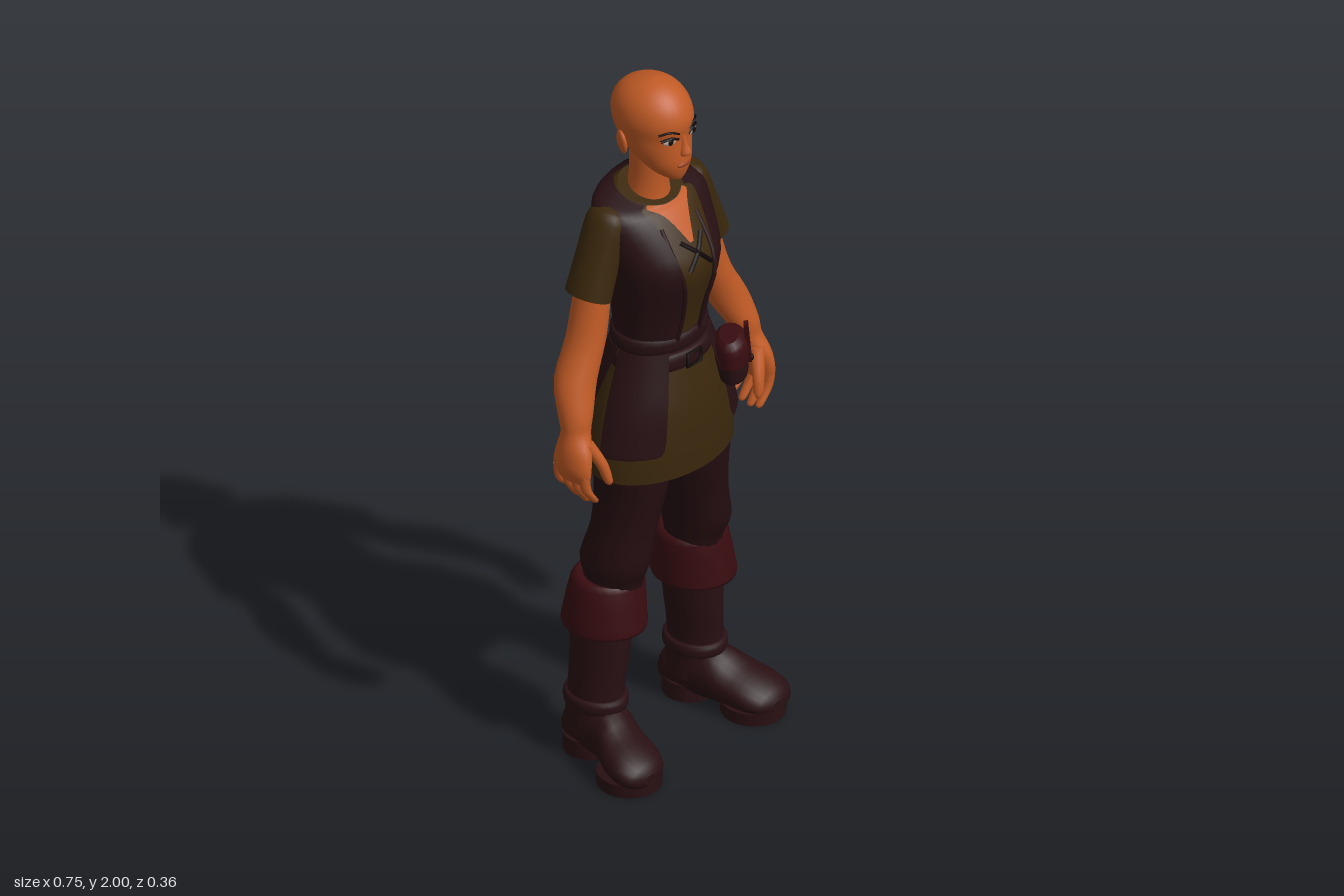
import * as THREE from 'three';

const mat = (name, color, side = THREE.FrontSide) => {
  const m = new THREE.MeshStandardMaterial({ color, side });
  m.name = name;
  return m;
};

// Smooth interpolation of section rows, component by component
function refine(rows, steps) {
  const out = [];
  for (let i = 0; i < rows.length - 1; i++) {
    const [p, a, b, q] = [rows[Math.max(i - 1, 0)], rows[i], rows[i + 1], rows[Math.min(i + 2, rows.length - 1)]];
    for (let s = 0; s < steps; s++) {
      const t = s / steps;
      out.push(a.map((v, k) => v + 0.5 * t * (b[k] - p[k]
        + t * (2 * p[k] - 5 * v + 4 * b[k] - q[k] + t * (3 * (v - b[k]) + q[k] - p[k])))));
    }
  }
  out.push(rows[rows.length - 1]);
  return out;
}

// Loft of horizontal elliptical sections, bottom to top.
// Row: [y, centreX, centreZ, radiusX, radiusZ, tilt, startAngle, endAngle]; angle 0 is the front.
function loft(rows, { n = 20, steps = 3, caps = true } = {}) {
  const full = rows.map(r => [0, 0, 0, 0, 0, 0, 0, Math.PI * 2].map((d, k) => r[k] ?? d));
  const rings = refine(full, steps);
  const pos = [], idx = [];
  const closed = rows[0].length < 7, w = closed ? n : n + 1;
  const put = (r, j) => {
    const a = r[6] + (r[7] - r[6]) * j / n, dz = Math.cos(a) * r[4];
    pos.push(r[1] + Math.sin(a) * r[3], r[0] + r[5] * dz, r[2] + dz);
  };
  rings.forEach(r => { for (let j = 0; j < w; j++) put(r, j); });
  for (let i = 0; i < rings.length - 1; i++) {
    for (let j = 0; j < n; j++) {
      const k = (j + 1) % w, a = i * w + j, b = i * w + k;
      idx.push(a, b, b + w, a, b + w, a + w);
    }
  }
  if (caps && closed) {
    [rings[0], rings[rings.length - 1]].forEach((r, top) => {
      const c = pos.length / 3;
      pos.push(r[1], r[0], r[2]);
      for (let j = 0; j < n; j++) put(r, j);
      for (let j = 0; j < n; j++) {
        const a = c + 1 + j, b = c + 1 + (j + 1) % n;
        top ? idx.push(c, a, b) : idx.push(c, b, a);
      }
    });
  }
  const g = new THREE.BufferGeometry();
  g.setAttribute('position', new THREE.Float32BufferAttribute(pos, 3));
  g.setIndex(idx);
  g.computeVertexNormals();
  return g;
}

function mirrored(geo) {
  const g = geo.clone().scale(-1, 1, 1), ix = g.index;
  for (let i = 0; i < ix.count; i += 3) {
    const t = ix.getX(i);
    ix.setX(i, ix.getX(i + 1));
    ix.setX(i + 1, t);
  }
  g.computeVertexNormals();
  return g;
}

const ball = (x, y, z, rx, ry, rz) => new THREE.SphereGeometry(1, 16, 12).scale(rx, ry, rz).translate(x, y, z);
const box = (w, h, d, x, y, z) => new THREE.BoxGeometry(w, h, d).translate(x, y, z);
const cord = (pts, r) => new THREE.TubeGeometry(
  new THREE.CatmullRomCurve3(pts.map(p => new THREE.Vector3(...p))), 10, r, 6);

export function createModel() {
  const root = new THREE.Group();
  root.name = 'villager';
  const skin = mat('skin', 0xc05a25, THREE.DoubleSide), lip = mat('lips', 0x9a401c);
  const cloth = mat('tunic cloth', 0x3a270c, THREE.DoubleSide);
  const vestM = mat('vest leather', 0x260f12, THREE.DoubleSide);
  const trouserM = mat('trouser cloth', 0x240d10), bootM = mat('boot leather', 0x280f12);
  const cuffM = mat('red leather', 0x380c10), dark = mat('dark trim', 0x120808);
  const white = mat('eye white', 0xb8a89c);
  const add = (name, geo, m) => {
    const mesh = new THREE.Mesh(geo, m);
    mesh.name = name;
    root.add(mesh);
  };
  const pair = (name, geo, m) => {
    add(name + 'Left', geo, m);
    add(name + 'Right', mirrored(geo), m);
  };

  // Head and face
  add('head', loft([
    [1.732, 0, 0.035, 0.02, 0.022], [1.75, 0, 0.015, 0.045, 0.05], [1.78, 0, -0.008, 0.066, 0.08],
    [1.82, 0, -0.032, 0.082, 0.102], [1.86, 0, -0.045, 0.09, 0.112], [1.9, 0, -0.046, 0.096, 0.118],
    [1.94, 0, -0.048, 0.089, 0.107], [1.972, 0, -0.048, 0.068, 0.08], [1.992, 0, -0.044, 0.036, 0.042],
    [2, 0, -0.042, 0.002, 0.002]], { n: 32 }), skin);
  add('neck', loft([[1.58, 0, -0.06, 0.075, 0.07], [1.65, 0, -0.06, 0.058, 0.058],
    [1.71, 0, -0.058, 0.05, 0.054], [1.8, 0, -0.055, 0.052, 0.056]]), skin);
  add('nose', loft([[1.81, 0, 0.066, 0.012, 0.008], [1.82, 0, 0.07, 0.016, 0.02],
    [1.845, 0, 0.064, 0.009, 0.014], [1.88, 0, 0.06, 0.007, 0.006]], { n: 10 }), skin);
  add('lips', ball(0, 1.783, 0.068, 0.025, 0.008, 0.007), lip);
  pair('ear', ball(0, 0, 0, 0.01, 0.036, 0.024).rotateY(0.35).rotateZ(-0.15).translate(0.1, 1.84, -0.06), skin);
  pair('eye', ball(0, 0, 0, 0.019, 0.009, 0.005).rotateY(0.35).translate(0.042, 1.862, 0.056), white);
  pair('pupil', ball(0.042, 1.863, 0.06, 0.009, 0.009, 0.004), dark);
  pair('eyelid', cord([[0.018, 1.864, 0.064], [0.04, 1.873, 0.06], [0.066, 1.868, 0.046]], 0.004), dark);
  pair('brow', cord([[0.018, 1.882, 0.068], [0.045, 1.894, 0.061], [0.07, 1.887, 0.042]], 0.003), dark);

  // Torso: tunic body with a vest laid over it and a bare neckline
  const torso = [
    [1.14, 0, -0.022, 0.135, 0.1, 0], [1.25, 0, -0.022, 0.12, 0.098, 0], [1.35, 0, -0.017, 0.132, 0.112, 0],
    [1.47, 0, -0.013, 0.15, 0.138, 0], [1.55, 0, -0.035, 0.163, 0.125, 0], [1.62, 0, -0.06, 0.17, 0.1, 0],
    [1.652, 0, -0.07, 0.155, 0.085, -0.15], [1.665, 0, -0.06, 0.085, 0.075, -0.3]];
  const shell = (from, offset, gaps, isFront) => gaps.map((g, i) => {
    const [y, x, z, rx, rz, tilt] = torso[from + i];
    const range = isFront ? [-g, g] : [g, Math.PI * 2 - g];
    return [y + offset * 0.6, x, z, rx + offset, rz + offset, tilt, ...range];
  });
  add('tunicBody', loft(torso, { n: 32 }), cloth);
  add('vest', loft(shell(1, 0.01, [0.32, 0.28, 0.38, 0.42, 0.5, 0.6, 0.85]), { n: 40 }), vestM);
  add('neckline', loft(shell(4, 0.005, [0.04, 0.24, 0.45, 0.8], true), { n: 12 }), skin);
  for (const s of [-1, 1]) {
    add('lace', cord([[-0.04 * s, 1.565, 0.088], [0, 1.53, 0.116], [0.04 * s, 1.49, 0.127]], 0.007), dark);
    add('vestEdge', cord([[0.065 * s, 1.6, 0.047], [0.066 * s, 1.53, 0.094], [0.058 * s, 1.46, 0.123],
      [0.04 * s, 1.35, 0.102], [0.041 * s, 1.26, 0.081]], 0.006), vestM);
  }

  // Sleeves, arms and hands
  pair('sleeve', loft([[-0.21, 0, 0, 0.056, 0.066], [-0.1, 0, 0, 0.054, 0.062], [0, 0, 0, 0.05, 0.06],
    [0.03, 0, 0, 0.032, 0.042], [0.042, 0, 0, 0.003, 0.003]], { caps: false })
    .rotateZ(0.35).translate(0.15, 1.62, -0.065), cloth);
  pair('arm', loft([
    [0.945, 0.344, 0, 0.02, 0.052], [0.98, 0.347, -0.003, 0.029, 0.062], [1.03, 0.337, -0.005, 0.035, 0.055],
    [1.075, 0.322, -0.014, 0.039, 0.04], [1.12, 0.312, -0.025, 0.046, 0.047], [1.2, 0.283, -0.052, 0.059, 0.055],
    [1.3, 0.236, -0.06, 0.052, 0.054], [1.4, 0.21, -0.065, 0.047, 0.052], [1.5, 0.193, -0.065, 0.04, 0.045]]), skin);
  for (let i = 0; i < 4; i++) {
    const z = 0.042 - i * 0.03, dy = [0, -0.008, -0.004, 0.012][i];
    pair('finger' + (i + 1), loft([[0.872 + dy, 0.308, z, 0.004, 0.004], [0.882 + dy, 0.313, z, 0.011, 0.012],
      [0.925, 0.343, z, 0.014, 0.014], [0.975, 0.35, z, 0.015, 0.015]], { n: 8 }), skin);
  }
  pair('thumb', loft([[0.925, 0.281, 0.066, 0.005, 0.005], [0.94, 0.284, 0.064, 0.013, 0.013],
    [0.99, 0.296, 0.052, 0.017, 0.017], [1.05, 0.32, 0.02, 0.02, 0.025]], { n: 10 }), skin);

  // Tunic skirt and the three vest panels hanging over it
  const skirt = [[0.88, 0.23, 0.153], [0.96, 0.225, 0.152], [1.06, 0.198, 0.143], [1.15, 0.163, 0.122], [1.22, 0.135, 0.105]];
  add('tunicSkirt', loft(skirt.map(([y, rx, rz]) => [y, 0, -0.02, rx, rz, -0.03]), { n: 32, caps: false }), cloth);
  const panel = (bottom, top) => {
    const [a0, a1] = bottom, [b0, b1] = top;
    const rows = skirt.slice(1).map(([y, rx, rz], i) =>
      [y + 0.015, 0, -0.02, rx + 0.012, rz + 0.01, 0, a0 + (b0 - a0) * i / 3, a1 + (b1 - a1) * i / 3]);
    // narrower last row rounds the lower corners
    rows.unshift([0.958, 0, -0.02, 0.239, 0.162, 0, a0 + 0.12, a1 - 0.12]);
    return loft(rows, { n: 24 });
  };
  pair('frontPanel', panel([0.56, 1.5], [0.5, 1.62]), vestM);
  add('backPanel', panel([2, Math.PI * 2 - 2], [1.66, Math.PI * 2 - 1.66]), vestM);

  // Belt, waist roll, buckle and pouch
  const band = (y, h, cx, cz, rx, rz) => loft([[y - h, cx, cz, rx - 0.015, rz - 0.015],
    [y - h * 0.7, cx, cz, rx, rz], [y + h * 0.7, cx, cz, rx, rz], [y + h, cx, cz, rx - 0.015, rz - 0.015]], { n: 28 });
  add('waistRoll', band(1.25, 0.024, 0, -0.022, 0.142, 0.112), vestM);
  add('belt', band(1.2, 0.026, 0, -0.02, 0.153, 0.12), bootM);
  add('buckle', new THREE.TorusGeometry(0.026, 0.005, 6, 4, Math.PI * 2).rotateZ(Math.PI / 4)
    .scale(1.3, 1, 1).translate(0, 1.2, 0.103), dark);
  const onHip = g => g.rotateY(0.75).rotateZ(0.12).translate(0.152, 1.14, 0.09);
  add('pouch', onHip(loft([[-0.068, 0, 0, 0.05, 0.03], [-0.055, 0, 0, 0.064, 0.042],
    [0.03, 0, 0, 0.06, 0.042], [0.05, 0, 0, 0.045, 0.026]], { n: 16 })), bootM);
  add('pouchFlap', onHip(loft([[-0.012, 0, 0.002, 0.068, 0.046], [0.04, 0, 0.002, 0.063, 0.045],
    [0.06, 0, 0, 0.045, 0.026]], { n: 16 })), cuffM);
  add('pouchStrap', onHip(box(0.022, 0.12, 0.012, 0, 0.03, 0.046)), cuffM);
  add('pouchButton', onHip(ball(0, -0.022, 0.053, 0.009, 0.009, 0.005)), dark);

  // Trousers
  add('hips', loft([[0.83, 0, -0.018, 0.1, 0.06], [0.88, 0, -0.018, 0.17, 0.11], [1, 0, -0.02, 0.185, 0.125],
    [1.12, 0, -0.02, 0.14, 0.1]]), trouserM);
  pair('trouserLeg', loft([[0.48, 0.155, -0.045, 0.075, 0.085], [0.54, 0.151, -0.04, 0.075, 0.083],
    [0.6, 0.152, -0.034, 0.083, 0.1], [0.7, 0.134, -0.02, 0.082, 0.09], [0.8, 0.118, -0.014, 0.088, 0.1],
    [0.9, 0.113, -0.012, 0.096, 0.108], [1, 0.1, -0.015, 0.09, 0.1]]), trouserM);

  // Boots: folded cuff, shaft, ankle strap, foot, sole and heel
  pair('bootCuff', loft([[0.398, 0.168, -0.058, 0.085, 0.09], [0.4, 0.168, -0.058, 0.107, 0.117],
    [0.43, 0.167, -0.058, 0.106, 0.114], [0.53, 0.158, -0.056, 0.097, 0.097],
    [0.545, 0.157, -0.055, 0.078, 0.084]], { n: 24, steps: 2 }), cuffM);
  pair('bootShaft', loft([[0.08, 0.188, -0.075, 0.072, 0.084], [0.2, 0.187, -0.07, 0.066, 0.08],
    [0.3, 0.177, -0.067, 0.07, 0.084], [0.42, 0.17, -0.067, 0.08, 0.088]]), bootM);
  pair('ankleStrap', band(0.172, 0.02, 0.187, -0.07, 0.077, 0.09), bootM);
  pair('foot', loft([[-0.163, 0.18, -0.065, 0.035, 0.04], [-0.14, 0.183, -0.075, 0.057, 0.06],
    [-0.08, 0.188, -0.085, 0.067, 0.075], [0, 0.2, -0.09, 0.071, 0.078], [0.06, 0.222, -0.072, 0.08, 0.06],
    [0.12, 0.236, -0.06, 0.083, 0.048], [0.162, 0.24, -0.05, 0.062, 0.034],
    [0.178, 0.24, -0.045, 0.025, 0.015]]).rotateX(Math.PI / 2), bootM);
  const tread = (x, z, rx, rz, h) => new THREE.CylinderGeometry(1, 1, h, 24).scale(rx, 1, rz).translate(x, h / 2, z);
  pair('sole', tread(0.234, 0.092, 0.085, 0.087, 0.035), bootM);
  pair('heel', tread(0.187, -0.095, 0.066, 0.07, 0.05), bootM);

  return root;
}
